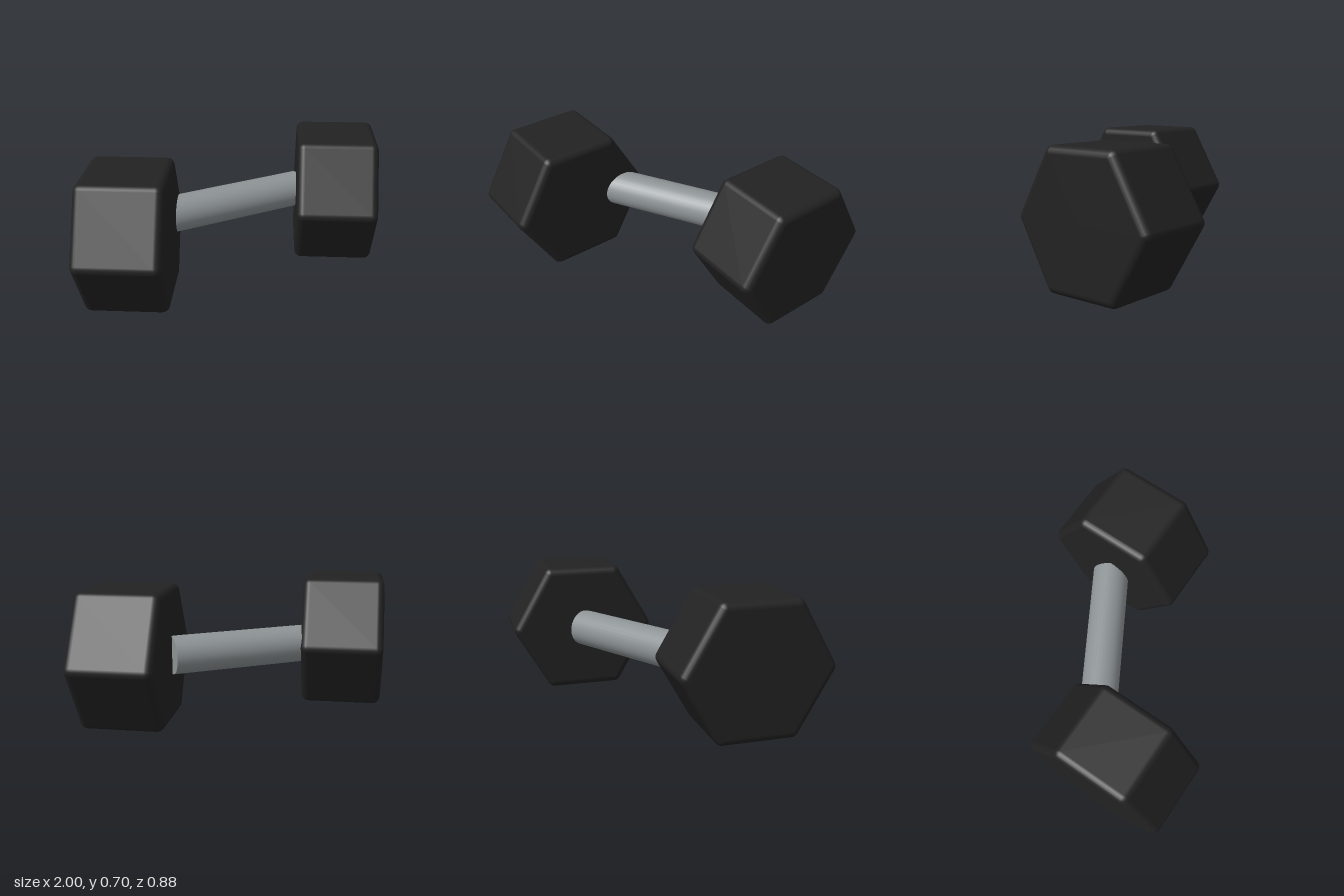
import * as THREE from 'three';

// Hexagonal prism along x with every edge rounded, built as rings with exact normals
function roundedHexPrism(apothem, length, r) {
  const cornerSteps = 5, rimSteps = 5;
  const innerR = (apothem - r) / Math.cos(Math.PI / 6);
  const innerHalf = length / 2 - r;
  const pos = [], nor = [], index = [];
  const cols = 6 * (cornerSteps + 1);

  for (const side of [1, -1]) {
    for (let j = 0; j <= rimSteps; j++) {
      const t = j / rimSteps;
      const phi = (side > 0 ? 1 - t : -t) * Math.PI / 2;
      for (let k = 0; k < 6; k++) {
        const a = k * Math.PI / 3;
        for (let i = 0; i <= cornerSteps; i++) {
          const b = a + (i / cornerSteps - 0.5) * Math.PI / 3;
          const n = [Math.sin(phi), Math.cos(phi) * Math.cos(b), Math.cos(phi) * Math.sin(b)];
          nor.push(...n);
          pos.push(side * innerHalf + r * n[0], innerR * Math.cos(a) + r * n[1], innerR * Math.sin(a) + r * n[2]);
        }
      }
    }
  }

  // Skin between neighbouring rings
  const rings = 2 * (rimSteps + 1);
  for (let j = 0; j < rings - 1; j++) {
    for (let i = 0; i < cols; i++) {
      const i2 = (i + 1) % cols;
      const a = j * cols + i, b = j * cols + i2, c = a + cols, d = b + cols;
      index.push(a, c, b, b, c, d);
    }
  }

  // End faces
  for (const side of [1, -1]) {
    const centre = pos.length / 3;
    pos.push(side * length / 2, 0, 0);
    nor.push(side, 0, 0);
    const start = side > 0 ? 0 : (rings - 1) * cols;
    for (let i = 0; i < cols; i++) {
      const a = start + i, b = start + (i + 1) % cols;
      if (side > 0) index.push(centre, a, b);
      else index.push(centre, b, a);
    }
  }

  const g = new THREE.BufferGeometry();
  g.setAttribute('position', new THREE.Float32BufferAttribute(pos, 3));
  g.setAttribute('normal', new THREE.Float32BufferAttribute(nor, 3));
  g.setIndex(index);
  // Turn so that a pair of corners points sideways and flats lie top and bottom
  g.rotateX(Math.PI / 2);
  return g;
}

export function createModel() {
  const model = new THREE.Group();
  model.name = 'dumbbell';

  const rubber = new THREE.MeshStandardMaterial({ color: 0x222222 });
  rubber.name = 'black rubber';
  const steel = new THREE.MeshStandardMaterial({ color: 0x8e9496 });
  steel.name = 'grey steel';

  // Hexagonal weights, turned about the vertical
  const headGeometry = roundedHexPrism(0.35, 0.44, 0.04);
  for (const [name, side] of [['leftWeight', 1], ['rightWeight', -1]]) {
    const head = new THREE.Mesh(headGeometry, rubber);
    head.name = name;
    head.position.set(side * 0.625, 0.352, 0);
    head.rotation.y = -Math.PI / 6;
    model.add(head);
  }

  // Handle bar, set towards the back
  const handle = new THREE.Mesh(new THREE.CylinderGeometry(0.1, 0.1, 0.87, 32), steel);
  handle.name = 'handle';
  handle.rotation.z = Math.PI / 2;
  handle.position.set(0, 0.355, -0.11);
  model.add(handle);

  return model;
}
